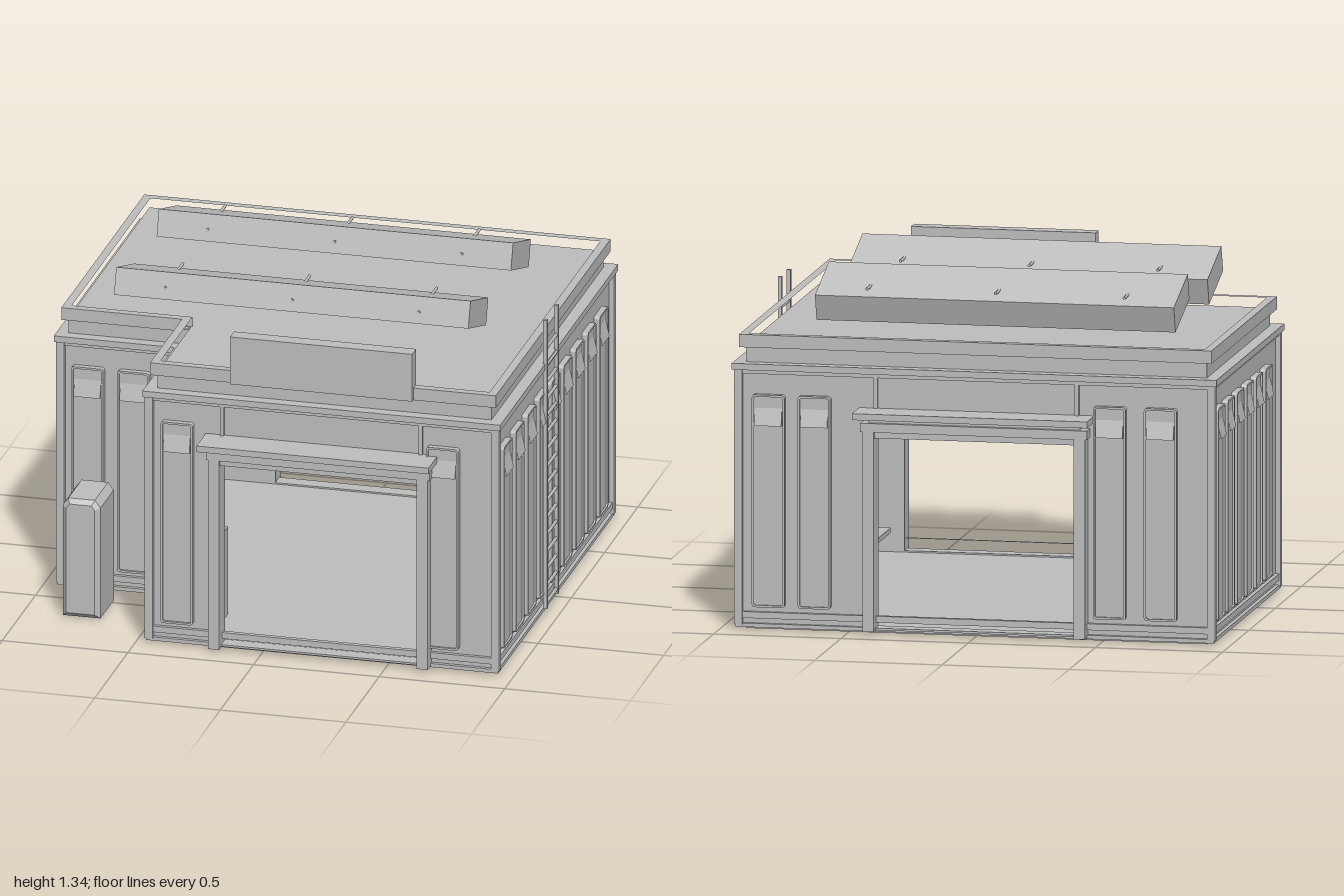
import * as THREE from 'three';

export function createModel() {
  const root = new THREE.Group();
  const grey = new THREE.MeshStandardMaterial({ color: 0xbebebe });
  grey.name = 'plain grey';

  const add = (name, geo, parent = root) => {
    const m = new THREE.Mesh(geo, grey);
    m.name = name;
    parent.add(m);
    return m;
  };
  // box given by its limits
  const box = (name, x0, x1, y0, y1, z0, z1, parent = root) => {
    const m = add(name, new THREE.BoxGeometry(x1 - x0, y1 - y0, z1 - z0), parent);
    m.position.set((x0 + x1) / 2, (y0 + y1) / 2, (z0 + z1) / 2);
    return m;
  };

  // L-shaped footprint, grown outward by o
  const outline = (o) => [
    [-0.925 - o, -0.86 - o], [0.925 + o, -0.86 - o], [0.925 + o, 0.86 + o],
    [-0.445 - o, 0.86 + o], [-0.445 - o, 0.38 + o], [-0.925 - o, 0.38 + o],
  ].map(([x, z]) => new THREE.Vector2(x, -z));
  const slab = (name, o, y0, y1, inner) => {
    const s = new THREE.Shape(outline(o));
    if (inner !== undefined) s.holes.push(new THREE.Path(outline(inner)));
    const g = new THREE.ExtrudeGeometry(s, { depth: y1 - y0, bevelEnabled: false });
    g.rotateX(-Math.PI / 2).translate(0, y0, 0);
    return add(name, g);
  };

  // floor, trims, roof and parapet
  slab('floor', -0.02, 0, 0.02);
  slab('plinth', 0.015, 0.01, 0.025, -0.03);
  slab('baseTrim', 0.015, 0.045, 0.07, -0.005);
  slab('corniceLower', 0.015, 1.0, 1.015, -0.03);
  slab('corniceUpper', 0.027, 1.015, 1.04, -0.03);
  slab('parapetNeck', -0.02, 1.04, 1.1, -0.045);
  slab('parapetCap', 0.003, 1.1, 1.15, -0.03);
  slab('roof', -0.025, 1.07, 1.11);

  // walls
  const T = 0.03, H = 1.04;
  box('rightWall', 0.925 - T, 0.925, 0.02, H, -0.86, 0.86);
  box('leftWall', -0.925, -0.925 + T, 0.02, H, -0.86, 0.38);
  box('notchWall', -0.925, -0.445, 0.02, H, 0.38 - T, 0.38);
  box('wingSideWall', -0.445, -0.445 + T, 0.02, H, 0.38 - T, 0.86);
  const doorWall = (name, x0, x1, d0, d1, z0, z1) => {
    box(name + 'Left', x0, d0, 0.02, H, z0, z1);
    box(name + 'Right', d1, x1, 0.02, H, z0, z1);
    box(name + 'Header', d0, d1, 0.77, H, z0, z1);
  };
  doorWall('frontWall', -0.445, 0.925, -0.16, 0.63, 0.83, 0.86);
  doorWall('backWall', -0.925, 0.925, -0.4, 0.39, -0.86, -0.83);

  // corner posts
  outline(0.004).forEach((p, i) => {
    const m = add('cornerPost' + i, new THREE.BoxGeometry(0.032, 1.0, 0.032));
    m.position.set(p.x, 0.52, -p.y);
  });

  // door frames and canopies, built facing +z
  const doorway = (name, w, z, x, turn) => {
    const g = new THREE.Group();
    g.name = name;
    const h = w / 2;
    for (const s of [-1, 1]) {
      const post = box('doorPost', -0.022, 0.022, 0.015, 0.83, -0.03, 0.06, g);
      post.position.x = s * (h + 0.02);
      const strip = box('headerStrip', -0.008, 0.008, 0.83, 1.01, 0, 0.012, g);
      strip.position.x = s * h;
    }
    box('lintel', -h - 0.05, h + 0.05, 0.795, 0.83, -0.01, 0.062, g);
    box('lintelLower', -h, h, 0.77, 0.795, -0.03, 0.045, g);
    box('canopy', -h - 0.067, h + 0.067, 0.855, 0.88, 0, 0.14, g);
    box('canopyBracket', -h - 0.02, h + 0.02, 0.83, 0.855, 0, 0.045, g);
    box('threshold', -h, h, 0.018, 0.026, -0.03, 0.03, g);
    g.position.set(x, 0, z);
    g.rotation.y = turn;
    root.add(g);
  };
  doorway('frontDoorway', 0.79, 0.86, 0.235, 0);
  doorway('backDoorway', 0.79, -0.86, -0.005, Math.PI);

  // rounded wall panels with a rim and a sloping vent hood
  const rounded = (P, w, h, r) => {
    const p = new P();
    p.moveTo(-w / 2 + r, -h / 2);
    p.absarc(w / 2 - r, -h / 2 + r, r, -Math.PI / 2, 0);
    p.absarc(w / 2 - r, h / 2 - r, r, 0, Math.PI / 2);
    p.absarc(-w / 2 + r, h / 2 - r, r, Math.PI / 2, Math.PI);
    p.absarc(-w / 2 + r, -h / 2 + r, r, Math.PI, Math.PI * 1.5);
    return p;
  };
  const flat = (shape, depth) => new THREE.ExtrudeGeometry(shape, { depth, bevelEnabled: false, curveSegments: 3 });
  const rim = rounded(THREE.Shape, 0.128, 0.83, 0.012);
  rim.holes.push(rounded(THREE.Path, 0.112, 0.814, 0.008));
  const rimGeo = flat(rim, 0.024);
  const plateGeo = flat(rounded(THREE.Shape, 0.12, 0.822, 0.01), 0.016);
  const hoodShape = new THREE.Shape([[0, 0], [0.032, 0], [0.016, 0.068], [0, 0.068]].map(([a, b]) => new THREE.Vector2(a, b)));
  const hoodGeo = flat(hoodShape, 0.106).rotateY(-Math.PI / 2).translate(0.053, 0.295, 0);
  const panel = (x, z, turn) => {
    const g = new THREE.Group();
    g.name = 'wallPanel';
    add('panelRim', rimGeo, g);
    add('panelPlate', plateGeo, g);
    add('ventHood', hoodGeo, g);
    g.position.set(x, 0.505, z);
    g.rotation.y = turn;
    root.add(g);
  };
  for (let i = 0; i < 9; i++) panel(0.925, 0.755 - 0.18 * i, Math.PI / 2);
  for (let i = 0; i < 6; i++) panel(-0.925, -0.765 + 0.18 * i, -Math.PI / 2);
  for (const z of [0.49, 0.67]) panel(-0.445, z, -Math.PI / 2);
  for (const x of [-0.82, -0.637]) panel(x, 0.38, 0);
  for (const x of [-0.337, 0.72]) panel(x, 0.86, 0);
  for (const x of [-0.73, -0.53, 0.63, 0.81]) panel(x, -0.86, Math.PI);

  // plain sign board
  box('signBoard', -0.125, 0.6, 1.1, 1.295, 0.82, 0.88);

  // tilted roof units with cross rods
  for (const z of [0.265, -0.375]) {
    const unit = add('roofUnit', new THREE.BoxGeometry(1.41, 0.107, 0.28));
    unit.position.set(-0.005, 1.245, z);
    unit.rotation.x = -0.31;
    for (const x of [-0.51, -0.005, 0.5]) {
      const rod = add('roofRod', new THREE.CylinderGeometry(0.006, 0.006, 0.27, 8).rotateX(Math.PI / 2));
      rod.position.set(x, 1.28, z + 0.005);
    }
  }

  // ladder
  for (const z of [0.04, 0.205]) box('ladderRail', 0.945, 0.96, 0.03, 1.22, z - 0.009, z + 0.009);
  for (let i = 0; i < 16; i++) {
    const rung = add('ladderRung', new THREE.CylinderGeometry(0.007, 0.007, 0.165, 6).rotateX(Math.PI / 2));
    rung.position.set(0.952, 0.05 + i * 0.07, 0.122);
  }

  // chamfered outdoor cabinet with hinges
  const cab = new THREE.Shape([[-0.08, 0.02], [0.08, 0.02], [0.08, 0.455], [0.06, 0.475], [-0.06, 0.475], [-0.08, 0.455]]
    .map(([x, y]) => new THREE.Vector2(x * 0.75, y)));
  const cabGeo = new THREE.ExtrudeGeometry(cab, { depth: 0.2, bevelSize: 0.018, bevelThickness: 0.018, bevelOffset: -0.003, bevelSegments: 1 });
  const cabinet = add('outdoorCabinet', cabGeo);
  cabinet.position.set(-0.767, 0, 0.487);
  for (const y of [0.08, 0.22, 0.35]) box('cabinetHinge', -0.855, -0.835, y - 0.012, y + 0.012, 0.55, 0.57);

  // indoor furniture
  box('indoorCabinet', -0.41, -0.22, 0.02, 0.38, 0.55, 0.78);
  box('benchTop', 0.535, 0.89, 0.22, 0.24, -0.45, 0.12);
  for (const z of [-0.42, 0.0]) box('benchPedestal', 0.65, 0.88, 0.02, 0.22, z, z + 0.1);
  const drum = add('benchDrum', new THREE.CylinderGeometry(0.05, 0.05, 0.24, 16).rotateZ(Math.PI / 2));
  drum.position.set(0.7, 0.29, -0.3);
  const disc = add('benchDisc', new THREE.CylinderGeometry(0.05, 0.05, 0.012, 16).rotateZ(Math.PI / 2));
  disc.position.set(0.55, 0.29, -0.3);
  box('benchBox', 0.66, 0.8, 0.24, 0.3, -0.1, 0.02);

  return root;
}
